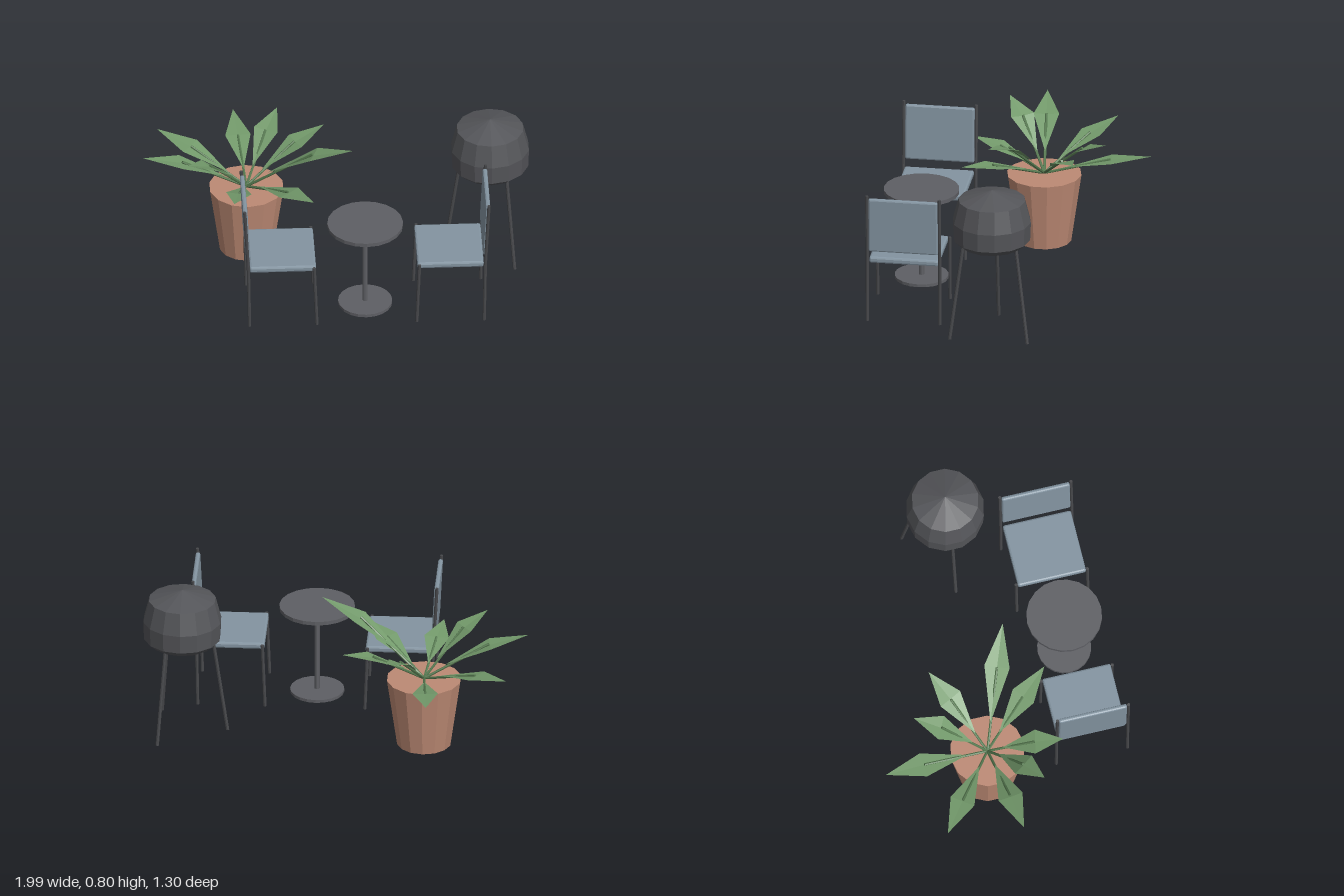
import * as THREE from 'three';
import { RoundedBoxGeometry } from 'three/addons/geometries/RoundedBoxGeometry.js';

const material = (name, color, extra = {}) =>
  Object.assign(new THREE.MeshStandardMaterial({ color, flatShading: true, ...extra }), { name });

export function createModel() {
  const mats = {
    frame: material('dark frame metal', 0x47484b),
    charcoal: material('charcoal enamel', 0x545559),
    table: material('graphite table', 0x5e5f64),
    cushion: material('blue grey fabric', 0x8394a1),
    pot: material('terracotta', 0xbd8a74),
    leaf: material('leaf green', 0x739a6b, { side: THREE.DoubleSide }),
    stem: material('stem green', 0x55784f),
  };
  const model = new THREE.Group();
  model.name = 'patioSet';

  const add = (parent, name, geometry, mat, x = 0, y = 0, z = 0) => {
    const mesh = new THREE.Mesh(geometry, mat);
    mesh.name = name;
    mesh.position.set(x, y, z);
    parent.add(mesh);
    return mesh;
  };
  const group = (name, x, y, z) => {
    const g = new THREE.Group();
    g.name = name;
    g.position.set(x, y, z);
    model.add(g);
    return g;
  };
  // Straight rod between two points
  const rod = (parent, name, a, b, radius, mat, sides = 8) => {
    const from = new THREE.Vector3(...a), to = new THREE.Vector3(...b);
    const dir = to.clone().sub(from);
    const mesh = add(parent, name, new THREE.CylinderGeometry(radius, radius, dir.length(), sides), mat);
    mesh.position.copy(from).addScaledVector(dir, 0.5);
    mesh.quaternion.setFromUnitVectors(new THREE.Vector3(0, 1, 0), dir.normalize());
    return mesh;
  };

  // Round pedestal table
  const table = group('table', 0.126, 0, 0.455);
  add(table, 'tableTop', new THREE.CylinderGeometry(0.196, 0.196, 0.02, 20), mats.table, 0, 0.486);
  add(table, 'tablePole', new THREE.CylinderGeometry(0.014, 0.014, 0.465, 10), mats.table, 0, 0.245);
  add(table, 'tableBase', new THREE.CylinderGeometry(0.14, 0.14, 0.016, 20), mats.table, 0, 0.008);

  // Pair of chairs facing the table; the backrest is on local +x
  for (const side of [1, -1]) {
    const chair = group(side > 0 ? 'leftChair' : 'rightChair', 0.126, 0, 0.455);
    if (side < 0) chair.rotation.y = Math.PI;
    add(chair, 'seat', new RoundedBoxGeometry(0.343, 0.034, 0.362, 1, 0.01), mats.cushion, 0.433, 0.338);
    add(chair, 'backrest', new RoundedBoxGeometry(0.024, 0.3, 0.362, 1, 0.009), mats.cushion, 0.62, 0.543)
      .rotation.z = -0.05;
    for (const z of [-0.189, 0.189]) {
      rod(chair, 'frontLeg', [0.258, 0, z], [0.272, 0.35, z], 0.0085, mats.frame);
      rod(chair, 'backLeg', [0.606, 0, z], [0.612, 0.35, z], 0.0085, mats.frame);
      rod(chair, 'backPost', [0.612, 0.345, z], [0.631, 0.708, z], 0.0085, mats.frame);
    }
  }

  // Barrel grill on three splayed legs
  const grill = group('grill', 0.794, 0, -0.015);
  const profile = [[0, 0.5], [0.165, 0.5], [0.2, 0.532], [0.204, 0.63], [0.174, 0.747], [0, 0.8]]
    .map(([r, y]) => new THREE.Vector2(r, y));
  add(grill, 'grillBody', new THREE.LatheGeometry(profile, 14), mats.charcoal);
  for (let i = 0; i < 3; i++) {
    const a = Math.PI + i * Math.PI * 2 / 3, c = Math.cos(a), s = Math.sin(a);
    rod(grill, 'grillLeg', [c * 0.234, 0, s * 0.234], [c * 0.158, 0.52, s * 0.158], 0.009, mats.frame);
  }

  // Potted plant
  const plant = group('plant', -0.461, 0, -0.095);
  add(plant, 'pot', new THREE.CylinderGeometry(0.194, 0.141, 0.37, 14), mats.pot, 0, 0.185);

  // Leaf tips relative to the pot centre: x, height above the soil, z
  const tips = [
    [-0.043, 0.108, -0.55], [0.176, 0.25, -0.348], [0.411, 0.228, -0.212],
    [0.54, 0.345, 0.212], [0.331, 0.145, 0.383], [-0.08, 0.15, 0.383],
    [-0.315, 0.29, 0.228], [-0.537, 0.235, 0.065], [-0.446, 0.155, -0.318],
  ];
  for (const [x, h, z] of tips) {
    const along = (f, k, w = 0) => {
      const len = Math.hypot(x, z);
      return [x * f - z / len * w, 0.37 + h * k, z * f + x / len * w];
    };
    rod(plant, 'stem', along(0, 0), along(0.62, 0.8), 0.007, mats.stem, 6);

    // Kite-shaped blade, bent at its widest point
    const base = along(0.2, 0.32), mid = along(0.63, 0.78), tip = along(1, 1);
    const edgeA = along(0.63, 0.8, 0.066), edgeB = along(0.63, 0.8, -0.066);
    const blade = new THREE.BufferGeometry();
    blade.setAttribute('position', new THREE.Float32BufferAttribute(
      [...base, ...mid, ...tip, ...edgeA, ...edgeB], 3));
    blade.setIndex([0, 3, 1, 3, 2, 1, 0, 1, 4, 4, 1, 2]);
    blade.computeVertexNormals();
    add(plant, 'leaf', blade, mats.leaf);
  }
  return model;
}
